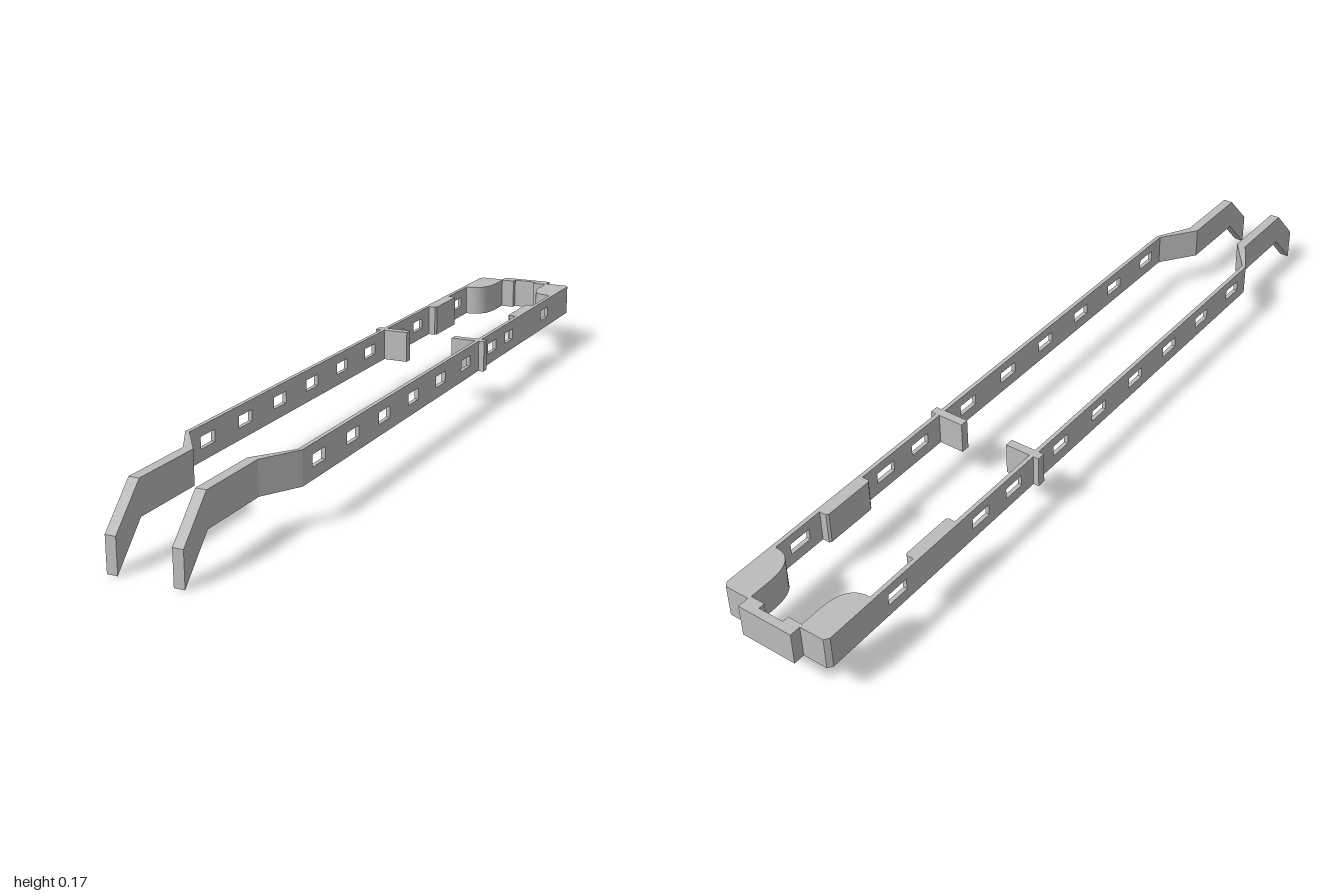
import * as THREE from 'three';
import { toCreasedNormals } from 'three/addons/utils/BufferGeometryUtils.js';

const BOTTOM = 0.088, TOP = 0.165, HEIGHT = TOP - BOTTOM;

// Plan outline (x, -z) raised to the full band height
function planPrism(shape) {
  const g = new THREE.ExtrudeGeometry(shape, { depth: HEIGHT, bevelEnabled: false, curveSegments: 10 });
  g.rotateX(-Math.PI / 2).translate(0, BOTTOM, 0);
  return toCreasedNormals(g, 0.5);
}

// Side outline (-z, y) given thickness between two x positions
function sidePrism(shape, xa, xb) {
  const g = new THREE.ExtrudeGeometry(shape, { depth: Math.abs(xb - xa), bevelEnabled: false });
  return g.rotateY(Math.PI / 2).translate(Math.min(xa, xb), 0, 0);
}

// Polygon from [a, z] pairs in plan, mirrored by s
const plan = (s, pts) => new THREE.Shape(pts.map(([x, z]) => new THREE.Vector2(s * x, -z)));
// Polygon from [z, y] pairs in side view
const side = (pts) => new THREE.Shape(pts.map(([z, y]) => new THREE.Vector2(-z, y)));
const rect = (z0, z1, y0, y1) => [[z0, y0], [z1, y0], [z1, y1], [z0, y1]];

export function createModel() {
  const model = new THREE.Group();
  model.name = 'springClip';
  const metal = new THREE.MeshStandardMaterial({ color: 0xbcbcbc });
  metal.name = 'grey metal';

  const add = (parent, name, geometry) => {
    const mesh = new THREE.Mesh(geometry, metal);
    mesh.name = name;
    parent.add(mesh);
  };

  for (const s of [1, -1]) {
    const arm = new THREE.Group();
    arm.name = s > 0 ? 'leftArm' : 'rightArm';
    model.add(arm);

    // Long thin wall with a row of slots
    const wall = side(rect(0.643, -0.835, BOTTOM, TOP));
    for (const z of [0.574, 0.42, 0.266, 0.112, -0.043, -0.198, -0.375, -0.493, -0.767]) {
      wall.holes.push(side(rect(z - 0.028, z + 0.028, 0.115, 0.142)));
    }
    add(arm, 'slottedWall', sidePrism(wall, s * 0.125, s * 0.135));

    // Angled neck leading to the narrow end
    add(arm, 'neck', planPrism(plan(s, [[0.135, 0.643], [0.085, 0.73], [0.061, 0.73], [0.125, 0.643]])));

    // Straight finger with its downturned tip
    const finger = side([[0.73, BOTTOM], [0.73, TOP], [0.917, TOP], [1, 0.079], [1, 0], [0.917, BOTTOM]]);
    add(arm, 'finger', sidePrism(finger, s * 0.061, s * 0.085));

    // Cross tab through the wall
    add(arm, 'crossTab', planPrism(plan(s, [[0.062, -0.303], [0.149, -0.303], [0.149, -0.282], [0.062, -0.282]])));

    // Grip pad on the inside of the wall
    add(arm, 'gripPad', planPrism(plan(s, [
      [0.132, -0.703], [0.108, -0.703], [0.104, -0.698], [0.104, -0.572], [0.108, -0.567], [0.132, -0.567],
    ])));

    // Corner block with a rounded inner corner
    const block = new THREE.Shape();
    block.moveTo(s * 0.135, 0.835);
    block.lineTo(s * 0.135, 0.963);
    block.lineTo(s * 0.127, 0.974);
    block.lineTo(s * 0.066, 0.974);
    block.lineTo(s * 0.066, 0.91);
    block.bezierCurveTo(s * 0.068, 0.86, s * 0.085, 0.835, s * 0.125, 0.835);
    add(arm, 'cornerBlock', planPrism(block));
  }

  // Back plate with a shallow notch on its inner face
  add(model, 'backPlate', planPrism(plan(1, [
    [-0.068, -1], [0.068, -1], [0.068, -0.966], [0.031, -0.966],
    [0.031, -0.981], [-0.031, -0.981], [-0.031, -0.966], [-0.068, -0.966],
  ])));

  return model;
}
